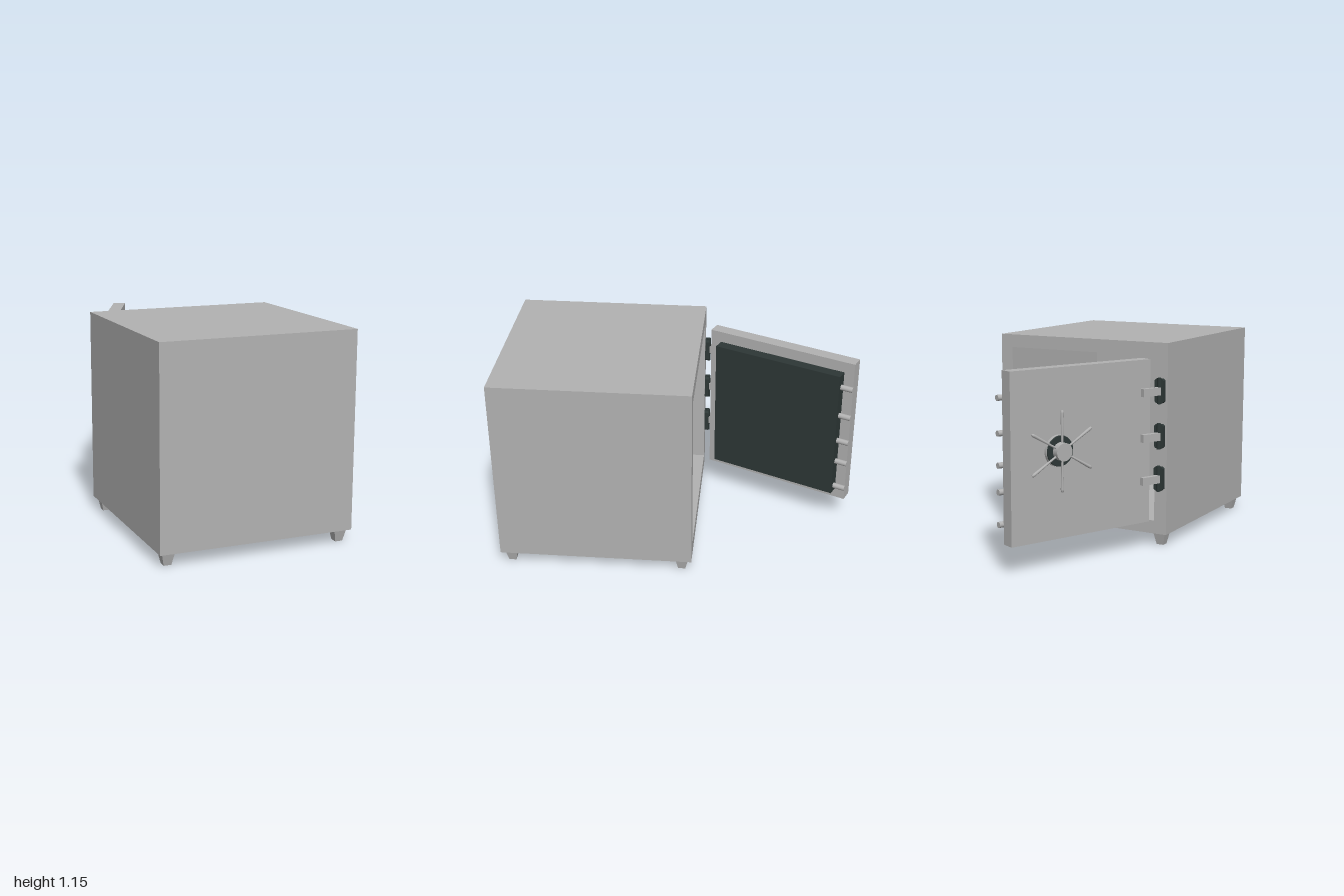
import * as THREE from 'three';

const steel = new THREE.MeshStandardMaterial({ color: 0xb1b1b1 });
steel.name = 'steelGrey';
const dark = new THREE.MeshStandardMaterial({ color: 0x2d3736 });
dark.name = 'darkGreenGrey';

function add(parent, name, geometry, material, x = 0, y = 0, z = 0) {
  const mesh = new THREE.Mesh(geometry, material);
  mesh.name = name;
  mesh.position.set(x, y, z);
  parent.add(mesh);
  return mesh;
}

// Box given by its lower and upper corners
function block(parent, name, material, [x0, y0, z0], [x1, y1, z1]) {
  return add(parent, name, new THREE.BoxGeometry(x1 - x0, y1 - y0, z1 - z0), material,
    (x0 + x1) / 2, (y0 + y1) / 2, (z0 + z1) / 2);
}

function rectangle(target, x0, y0, x1, y1) {
  target.moveTo(x0, y0);
  target.lineTo(x1, y0);
  target.lineTo(x1, y1);
  target.lineTo(x0, y1);
  target.closePath();
  return target;
}

function buildBody() {
  const body = new THREE.Group();
  body.name = 'body';
  // Hollow shell, open towards -z
  const frame = rectangle(new THREE.Shape(), -0.548, 0.07, 0.545, 1.155);
  frame.holes.push(rectangle(new THREE.Path(), -0.473, 0.145, 0.47, 1.08));
  add(body, 'shell', new THREE.ExtrudeGeometry(frame, { depth: 1.02, bevelEnabled: false }), steel, 0, 0, -0.1);
  block(body, 'closedWall', steel, [-0.548, 0.07, 0.92], [0.545, 1.155, 1]);

  // Tapered square feet
  for (const x of [-0.494, 0.493]) {
    for (const z of [-0.043, 0.94]) {
      const foot = new THREE.CylinderGeometry(0.036 * Math.SQRT2, 0.021 * Math.SQRT2, 0.07, 4, 1).toNonIndexed();
      foot.rotateY(Math.PI / 4);
      foot.computeVertexNormals();
      add(body, 'foot', foot, steel, x, 0.035, z);
    }
  }
  return body;
}

function buildHandle() {
  // Built along +y, then turned to point away from the door
  const handle = new THREE.Group();
  handle.name = 'wheelHandle';
  add(handle, 'hubBase', new THREE.CylinderGeometry(0.045, 0.05, 0.05, 32), steel, 0, 0.025, 0);
  add(handle, 'flange', new THREE.CylinderGeometry(0.084, 0.084, 0.018, 32), steel, 0, 0.056, 0);
  add(handle, 'flangeFace', new THREE.CylinderGeometry(0.08, 0.082, 0.006, 32), dark, 0, 0.068, 0);
  add(handle, 'hub', new THREE.CylinderGeometry(0.048, 0.048, 0.05, 32), steel, 0, 0.084, 0);
  // Six spokes flaring towards rounded tips
  const profile = [[0, 0], [0.005, 0], [0.006, 0.1], [0.009, 0.2], [0.007, 0.213], [0, 0.217]]
    .map(([r, y]) => new THREE.Vector2(r, y));
  const spoke = new THREE.LatheGeometry(profile, 12);
  spoke.rotateX(Math.PI / 2);
  for (let i = 0; i < 6; i++) {
    add(handle, 'spoke', spoke, steel, 0, 0.086, 0).rotation.y = i * Math.PI / 3;
  }
  handle.rotation.x = -Math.PI / 2;
  return handle;
}

const hingeHeights = [0.89, 0.636, 0.395];

function buildDoor() {
  // Local x runs from hinge edge to free edge, local +z is the inner side
  const door = new THREE.Group();
  door.name = 'door';
  block(door, 'doorSlab', steel, [0, 0.157, 0], [0.91, 1.07, 0.074]);
  block(door, 'innerPanel', dark, [0.066, 0.217, 0.074], [0.85, 1.006, 0.138]);
  // Locking bolts
  const bolt = new THREE.CylinderGeometry(0.016, 0.016, 0.08, 20);
  bolt.rotateZ(Math.PI / 2);
  for (const y of [0.925, 0.74, 0.572, 0.43, 0.257]) add(door, 'lockingBolt', bolt, steel, 0.882, y, 0.106);
  // Hinge arms
  for (const y of hingeHeights) block(door, 'hingeArm', steel, [-0.055, y - 0.022, -0.026], [0.065, y + 0.022, 0]);

  const handle = buildHandle();
  handle.position.set(0.65, 0.645, 0);
  door.add(handle);

  door.position.set(-0.476, 0, -0.17);
  door.rotation.y = THREE.MathUtils.degToRad(66);
  return door;
}

function buildHinges() {
  const hinges = new THREE.Group();
  hinges.name = 'hinges';
  // Plate with cut corners
  const plate = new THREE.Shape();
  const w = 0.028, h = 0.068, c = 0.01;
  [[-w + c, -h], [w - c, -h], [w, -h + c], [w, h - c], [w - c, h], [-w + c, h], [-w, h - c], [-w, -h + c]]
    .forEach(([x, y], i) => (i ? plate.lineTo(x, y) : plate.moveTo(x, y)));
  const plateGeometry = new THREE.ExtrudeGeometry(plate, { depth: 0.024, bevelEnabled: false });
  const pin = new THREE.CylinderGeometry(0.012, 0.012, 0.145, 16);
  for (const y of hingeHeights) {
    add(hinges, 'hingePlate', plateGeometry, dark, -0.507, y, -0.124);
    add(hinges, 'hingePin', pin, dark, -0.507, y, -0.12);
  }
  return hinges;
}

export function createModel() {
  const safe = new THREE.Group();
  safe.name = 'safe';
  safe.add(buildBody(), buildHinges(), buildDoor());
  return safe;
}
